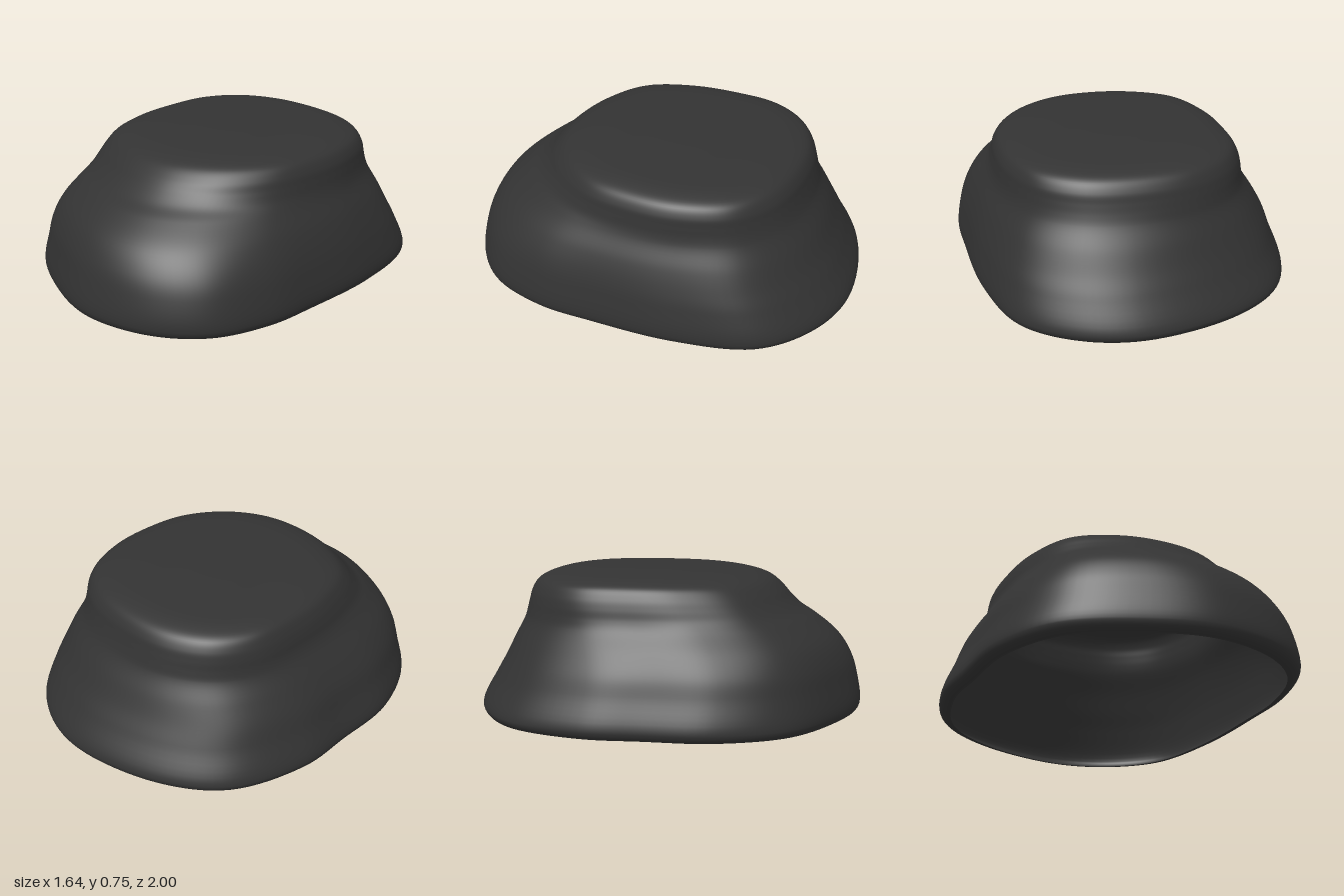
import * as THREE from 'three';

// Plan outlines as matching [x, z] points, starting at +x and turning towards +z
const baseOutline = [
  [0.805, 0.1], [0.81, 0.4], [0.72, 0.7], [0.5, 0.9], [0.15, 0.995], [-0.2, 0.925], [-0.57, 0.73], [-0.76, 0.4],
  [-0.8, 0.05], [-0.82, -0.25], [-0.7, -0.64], [-0.42, -0.87], [0.06, -1], [0.38, -0.935], [0.63, -0.74], [0.76, -0.35],
];
const topOutline = [
  [0.62, -0.07], [0.59, 0.18], [0.46, 0.4], [0.26, 0.54], [0.03, 0.58], [-0.2, 0.545], [-0.42, 0.42], [-0.54, 0.17],
  [-0.58, -0.1], [-0.57, -0.35], [-0.46, -0.55], [-0.25, -0.68], [0.05, -0.72], [0.29, -0.68], [0.48, -0.55], [0.59, -0.32],
];

// Cross-sections: height, min x, max x, min z, max z, blend from base to top outline
const sections = [
  [0, -0.76, 0.755, -0.94, 0.94, 0],
  [0.012, -0.80, 0.795, -0.98, 0.98, 0],
  [0.05, -0.82, 0.815, -1, 1, 0],
  [0.2, -0.77, 0.80, -0.925, 0.98, 0.1],
  [0.3, -0.735, 0.775, -0.865, 0.95, 0.25],
  [0.4, -0.68, 0.735, -0.81, 0.89, 0.5],
  [0.5, -0.615, 0.68, -0.75, 0.775, 0.8],
  [0.55, -0.595, 0.66, -0.73, 0.70, 0.95],
  [0.6, -0.585, 0.65, -0.715, 0.645, 1],
  [0.65, -0.57, 0.64, -0.70, 0.60, 1],
  [0.7, -0.54, 0.61, -0.665, 0.54, 1],
  [0.73, -0.47, 0.535, -0.59, 0.455, 1],
  [0.744, -0.35, 0.41, -0.47, 0.34, 1],
  [0.75, -0.18, 0.22, -0.27, 0.15, 1],
  [0.752, 0.02, 0.02, -0.06, -0.06, 1],
];

// Smooth closed outline, scaled into a 0..1 square
function unitOutline(points, count) {
  const curve = new THREE.CatmullRomCurve3(points.map(([x, z]) => new THREE.Vector3(x, 0, z)), true);
  const pts = curve.getPoints(count).slice(0, count);
  const box = new THREE.Box3().setFromPoints(pts);
  const size = box.getSize(new THREE.Vector3());
  return pts.map((p) => [(p.x - box.min.x) / size.x, (p.z - box.min.z) / size.z]);
}

function shellGeometry(around, up) {
  const base = unitOutline(baseOutline, around);
  const top = unitOutline(topOutline, around);
  const lerp = THREE.MathUtils.lerp;
  const positions = [];
  const index = [];

  // One smooth vertical rib per step round the outline
  for (let j = 0; j < around; j++) {
    const rib = sections.map(([y, x0, x1, z0, z1, k]) => new THREE.Vector3(
      lerp(x0, x1, lerp(base[j][0], top[j][0], k)),
      y,
      lerp(z0, z1, lerp(base[j][1], top[j][1], k)),
    ));
    for (const p of new THREE.CatmullRomCurve3(rib).getPoints(up)) positions.push(p.x, Math.max(0, p.y), p.z);
  }

  const row = up + 1;
  for (let j = 0; j < around; j++) {
    const next = (j + 1) % around;
    for (let i = 0; i < up; i++) {
      const a = j * row + i, b = next * row + i;
      index.push(a, a + 1, b);
      if (i < up - 1) index.push(b, a + 1, b + 1);
    }
  }
  const geometry = new THREE.BufferGeometry();
  geometry.setAttribute('position', new THREE.Float32BufferAttribute(positions, 3));
  geometry.setIndex(index);
  geometry.computeVertexNormals();

  // Ribs meet at the middle of the top, so that point faces straight up
  for (let j = 0; j < around; j++) geometry.attributes.normal.setXYZ(j * row + up, 0, 1, 0);
  return geometry;
}

export function createModel() {
  const group = new THREE.Group();
  group.name = 'cap';

  // Hollow shell, open underneath, with a rolled lower rim
  const material = new THREE.MeshStandardMaterial({ color: 0x333333, side: THREE.DoubleSide });
  const shell = new THREE.Mesh(shellGeometry(128, 84), material);
  shell.name = 'shell';
  group.add(shell);
  return group;
}
